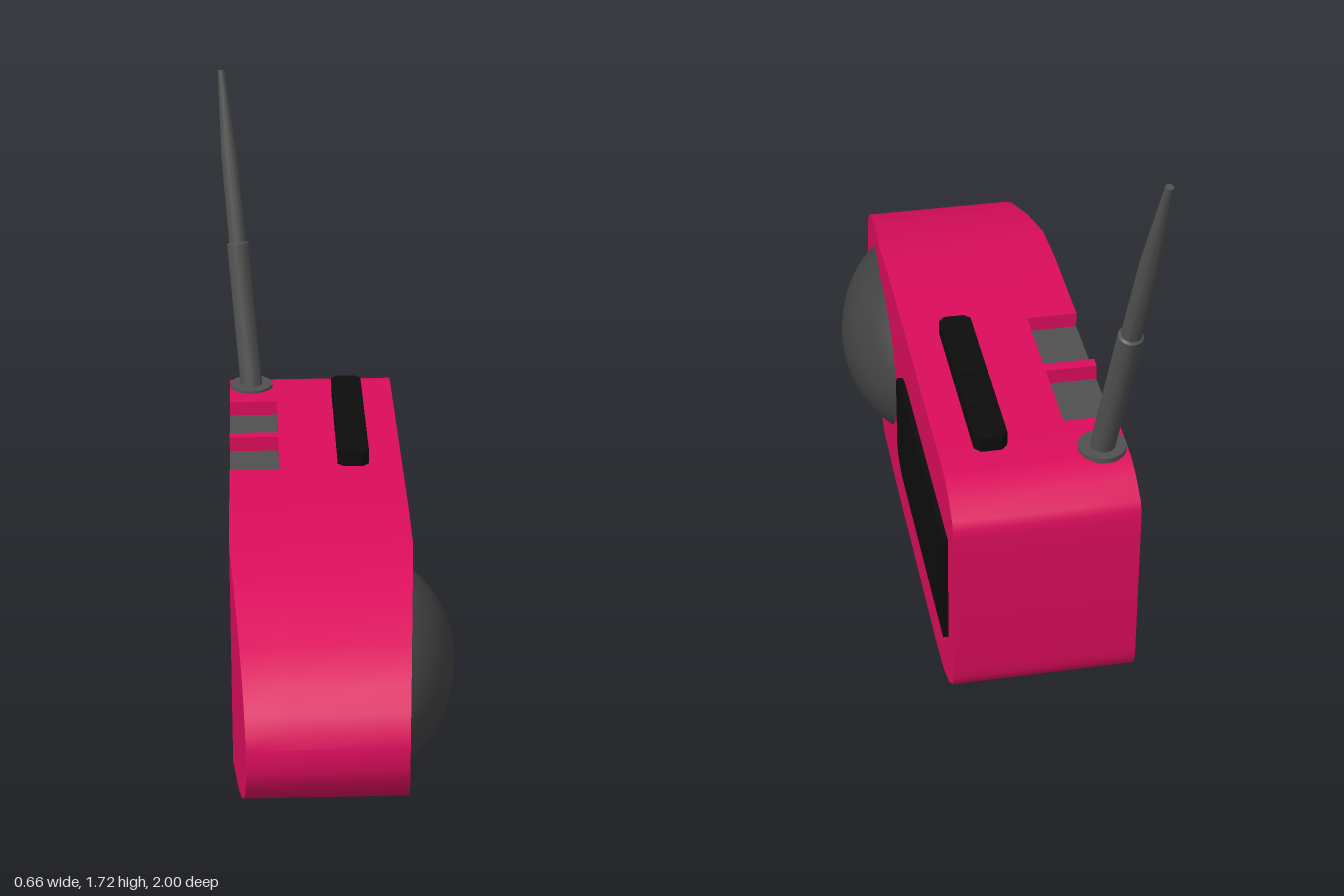
import * as THREE from 'three';
import { toCreasedNormals } from 'three/addons/utils/BufferGeometryUtils.js';

const mat = (color) => new THREE.MeshStandardMaterial({ color });
const LEFT = 0.21, RIGHT = -0.31, INNER = -0.16, TOP = 0.735, DEPTH = 0.05;
const NOTCHES = [[-0.59, -0.345], [-0.31, -0.07]];

// Side outline as [z, y], from back to nose
const UPPER = [[-0.915, 0.62], [-0.912, 0.645], [-0.9, 0.67], [-0.84, 0.708], [-0.78, 0.73], [-0.68, 0.735], [0.24, 0.735],
  [0.42, 0.72], [0.6, 0.674], [0.8, 0.602], [0.9, 0.545], [0.96, 0.486], [0.99, 0.435], [1, 0.4]];
const LOWER = [[-0.915, 0.155], [-0.912, 0.12], [-0.9, 0.09], [-0.84, 0.045], [-0.75, 0.012], [-0.63, 0], [0.17, 0],
  [0.42, 0.02], [0.65, 0.073], [0.8, 0.132], [0.9, 0.192], [0.96, 0.248], [0.99, 0.3], [1, 0.335]];

function heightAt(line, z) {
  const i = Math.max(1, line.findIndex((p) => p[0] >= z));
  const [a, b] = [line[i - 1], line[i]];
  return THREE.MathUtils.lerp(a[1], b[1], (z - a[0]) / (b[0] - a[0]));
}

// How far each side draws in toward the nose
const taper = (z) => 0.04 * Math.max(0, (z - 0.42) / 0.58);

function bodyGeometry() {
  const stations = [...UPPER, ...LOWER].map((p) => [p[0], 0]);
  for (const [a, b] of NOTCHES) stations.push([a, 0], [a, DEPTH], [b, DEPTH], [b, 0]);
  const mids = NOTCHES.map(([a, b]) => (a + b) / 2);
  for (const s of stations) {
    // Outline stations falling inside a notch share its depth
    if (NOTCHES.some(([a, b]) => s[0] > a && s[0] < b)) s[1] = DEPTH;
  }
  // At a notch edge the shallow section lies on the outer side
  const order = ([z, cut]) => {
    const near = mids.reduce((m, v) => (Math.abs(v - z) < Math.abs(m - z) ? v : m));
    return z + (cut ? Math.sign(near - z) * 1e-5 : 0);
  };
  stations.sort((a, b) => order(a) - order(b));

  const rings = stations.map(([z, cut]) => {
    const t = taper(z), top = heightAt(UPPER, z), bottom = heightAt(LOWER, z);
    return [[RIGHT + t, bottom], [LEFT - t, bottom], [LEFT - t, top], [INNER, top], [INNER, top - cut], [RIGHT + t, top - cut]]
      .map(([x, y]) => new THREE.Vector3(x, y, z));
  });
  const out = [];
  const tri = (a, b, c) => {
    if (new THREE.Triangle(a, b, c).getArea() > 1e-8) for (const v of [a, b, c]) out.push(v.x, v.y, v.z);
  };
  const quad = (a, b, c, d) => { tri(a, b, c); tri(a, c, d); };
  for (let i = 0; i < rings.length - 1; i++) {
    const r = rings[i], s = rings[i + 1];
    for (let j = 0; j < 6; j++) quad(r[j], r[(j + 1) % 6], s[(j + 1) % 6], s[j]);
  }
  const back = rings[0], nose = rings[rings.length - 1];
  quad(back[0], back[5], back[2], back[1]);
  quad(nose[0], nose[1], nose[2], nose[5]);
  const g = new THREE.BufferGeometry();
  g.setAttribute('position', new THREE.Float32BufferAttribute(out, 3));
  return toCreasedNormals(g, 0.75);
}

export function createModel() {
  const model = new THREE.Group();
  const red = mat(0xdc0d5c), black = mat(0x0d0d0d), grey = mat(0x505050), darkGrey = mat(0x424242);
  const add = (name, geometry, material, parent = model) => {
    const mesh = new THREE.Mesh(geometry, material);
    mesh.name = name;
    parent.add(mesh);
    return mesh;
  };

  add('body', bodyGeometry(), red);

  // Grey floors of the two notches in the top edge
  NOTCHES.forEach(([a, b], i) => {
    add('notchFloor' + (i + 1), new THREE.BoxGeometry(INNER - RIGHT, 0.008, b - a), grey)
      .position.set((INNER + RIGHT) / 2, TOP - DEPTH, (a + b) / 2);
  });

  // Shallow oval speaker dome that follows the tapering side
  const dome = new THREE.SphereGeometry(1, 48, 20, 0, Math.PI * 2, 0, 1.05);
  const rim = Math.sin(1.05), low = Math.cos(1.05);
  dome.translate(0, -low, 0).rotateZ(-Math.PI / 2);
  dome.scale(0.128 / (1 - low), 0.25 / rim, 0.36 / rim).translate(0.205, 0.365, 0.46);
  const p = dome.attributes.position;
  for (let i = 0; i < p.count; i++) p.setX(i, p.getX(i) - taper(p.getZ(i)));
  dome.computeVertexNormals();
  add('speakerDome', dome, darkGrey);

  // Dark side panel, rounded at its front end (shape x becomes -z)
  const panel = new THREE.Shape();
  panel.moveTo(0.83, 0.205);
  panel.lineTo(0.83, 0.552);
  panel.lineTo(0.12, 0.552);
  panel.bezierCurveTo(0.04, 0.552, -0.01, 0.525, -0.01, 0.48);
  panel.lineTo(-0.01, 0.277);
  panel.bezierCurveTo(-0.01, 0.232, 0.04, 0.205, 0.12, 0.205);
  const panelGeo = new THREE.ExtrudeGeometry(panel, { depth: 0.03, bevelEnabled: false, curveSegments: 10 });
  add('sidePanel', toCreasedNormals(panelGeo.rotateY(Math.PI / 2).translate(0.195, 0, 0), 0.6), black);

  // Row of four push buttons, the outer two with clipped ends
  const buttons = new THREE.Group();
  buttons.name = 'buttons';
  model.add(buttons);
  const pitch = 0.1525, half = 0.0735, w = 0.047;
  for (let i = 0; i < 4; i++) {
    const f = i === 0 ? 0.018 : 0, b = i === 3 ? 0.018 : 0;
    const shape = new THREE.Shape([[-w + f, -half], [w - f, -half], [w, -half + f], [w, half - b],
      [w - b, half], [-w + b, half], [-w, half - b], [-w, -half + f]].map(([x, y]) => new THREE.Vector2(x, y)));
    const g = new THREE.ExtrudeGeometry(shape, { depth: 0.055, bevelEnabled: false });
    g.rotateX(-Math.PI / 2);
    add('button' + (i + 1), g, black, buttons).position.set(0.063, 0.725, -0.159 - i * pitch);
  }

  // Antenna: round foot and a stepped, tapering rod leaning back
  const foot = new THREE.Vector3(-0.24, 0.735, -0.725);
  add('antennaFoot', new THREE.CylinderGeometry(0.068, 0.068, 0.016, 32), grey).position.copy(foot);
  const lean = new THREE.Vector3(-0.322, 1.713, -0.985).sub(foot);
  const len = lean.length();
  const profile = [[0, -0.02], [0.035, -0.02], [0.035, 0.455], [0.028, 0.46], [0.026, 0.73], [0.011, 1], [0, 1]]
    .map(([r, t]) => new THREE.Vector2(r, t * len));
  const rod = add('antennaRod', toCreasedNormals(new THREE.LatheGeometry(profile, 20), 0.6), grey);
  rod.position.copy(foot);
  rod.quaternion.setFromUnitVectors(new THREE.Vector3(0, 1, 0), lean.normalize());

  return model;
}
